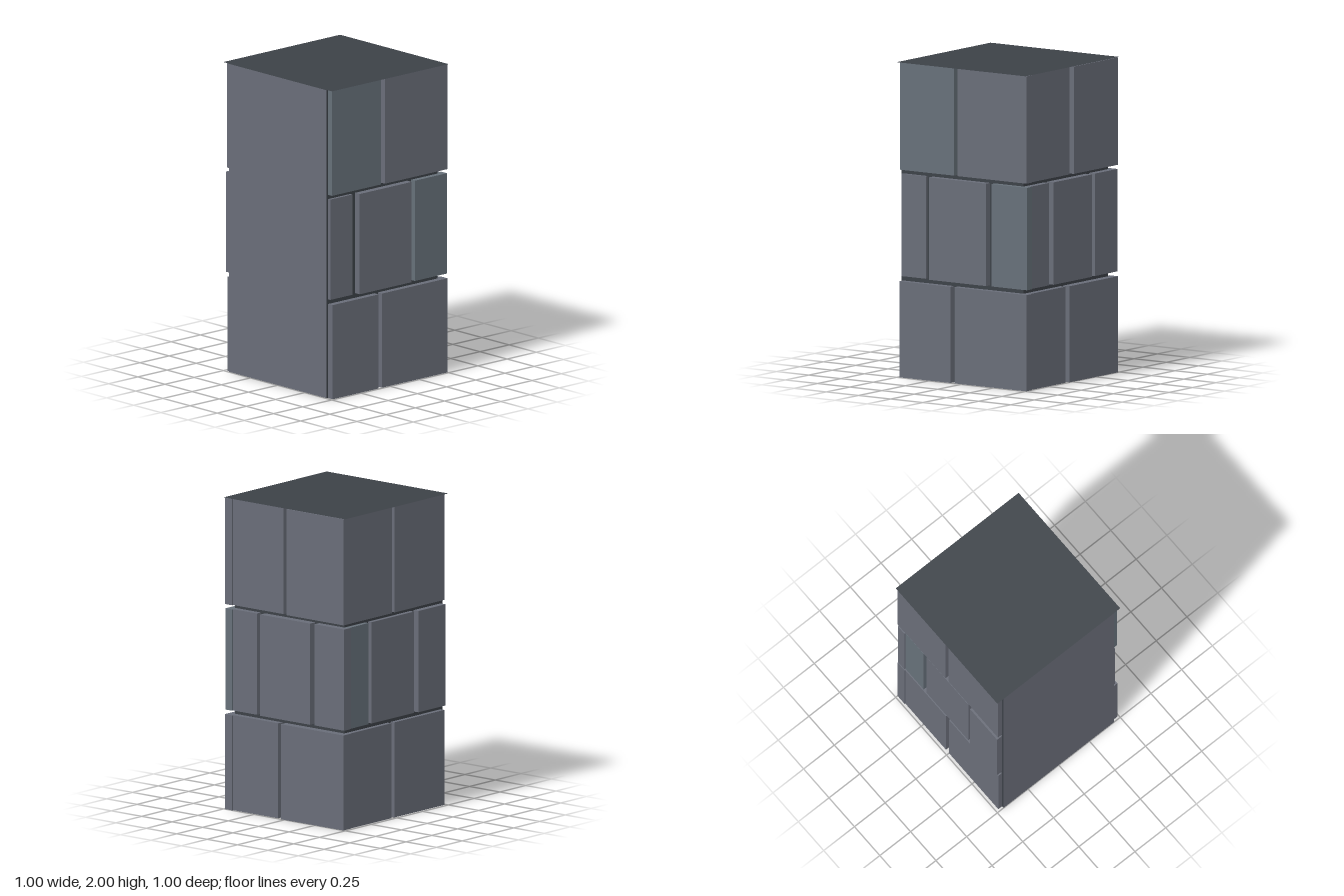
import * as THREE from 'three';

export function createModel() {
  const material = (name, color, side = THREE.FrontSide) => {
    const m = new THREE.MeshStandardMaterial({ color, side });
    m.name = name;
    return m;
  };
  const stone = material('greyStone', 0x696d78);
  const blueStone = material('blueGreyStone', 0x667079);
  const mortar = material('darkMortar', 0x3c4147, THREE.DoubleSide);

  const model = new THREE.Group();
  model.name = 'brickPillar';
  const add = (name, geometry, mat, parent = model) => {
    const mesh = new THREE.Mesh(geometry, mat);
    mesh.name = name;
    parent.add(mesh);
    return mesh;
  };

  // Mortar core with a smooth stone front
  const core = new THREE.BoxGeometry(0.9, 1.996, 0.95);
  core.translate(0, 1, 0.025);
  add('core', core, [mortar, mortar, mortar, mortar, stone, mortar]);

  // Thin cap, slightly wider than the core
  const cap = new THREE.PlaneGeometry(1, 1);
  cap.rotateX(-Math.PI / 2);
  add('cap', cap, mortar).position.y = 2;

  // Underside, split diagonally into two colours
  const underside = (name, points, mat) => {
    const shape = new THREE.Shape(points.map(([x, z]) => new THREE.Vector2(x, z)));
    const geometry = new THREE.ShapeGeometry(shape);
    geometry.rotateX(Math.PI / 2);
    add(name, geometry, mat);
  };
  underside('stoneUnderside', [[0.36, -0.45], [0.45, -0.45], [0.45, 0.5], [-0.45, 0.5]], stone);
  underside('mortarUnderside', [[-0.45, -0.45], [0.36, -0.45], [-0.45, 0.5]], mortar);

  // Bricks: each row lists [start, end, outer distance, colour] along its wall
  const rows = [[0, 0.61], [0.64, 1.29], [1.317, 1.998]];
  const walls = {
    rightWall: [
      [[0.09, 0.485, 0.49], [-0.5, 0.06, 0.49]],
      [[0.295, 0.485, 0.47], [-0.19, 0.255, 0.493], [-0.5, -0.225, 0.485, blueStone]],
      [[0.065, 0.485, 0.485, blueStone], [-0.5, 0.035, 0.488]],
    ],
    leftWall: [
      [[-0.455, -0.03, 0.48], [0, 0.485, 0.48]],
      [[-0.455, -0.25, 0.48, blueStone], [-0.22, 0.19, 0.48], [0.22, 0.485, 0.49]],
      [[-0.455, -0.03, 0.485], [0, 0.485, 0.483]],
    ],
    backWall: [
      [[0.06, 0.435, 0.49], [-0.485, 0.03, 0.5]],
      [[0.235, 0.435, 0.49], [-0.21, 0.2, 0.5], [-0.487, -0.245, 0.495]],
      [[0.015, 0.435, 0.49], [-0.487, -0.015, 0.5]],
    ],
  };
  const inner = 0.43;
  for (const [wallName, courses] of Object.entries(walls)) {
    const wall = new THREE.Group();
    wall.name = wallName;
    model.add(wall);
    courses.forEach((course, r) => {
      const [y0, y1] = rows[r];
      for (const [a, b, outer, mat = stone] of course) {
        const depth = outer - inner;
        const middle = (outer + inner) / 2;
        const along = (a + b) / 2;
        const isBack = wallName === 'backWall';
        const geometry = isBack
          ? new THREE.BoxGeometry(b - a, y1 - y0, depth)
          : new THREE.BoxGeometry(depth, y1 - y0, b - a);
        const brick = add('brick', geometry, mat, wall);
        if (isBack) brick.position.set(along, (y0 + y1) / 2, -middle);
        else brick.position.set(wallName === 'rightWall' ? middle : -middle, (y0 + y1) / 2, along);
      }
    });
  }
  return model;
}
